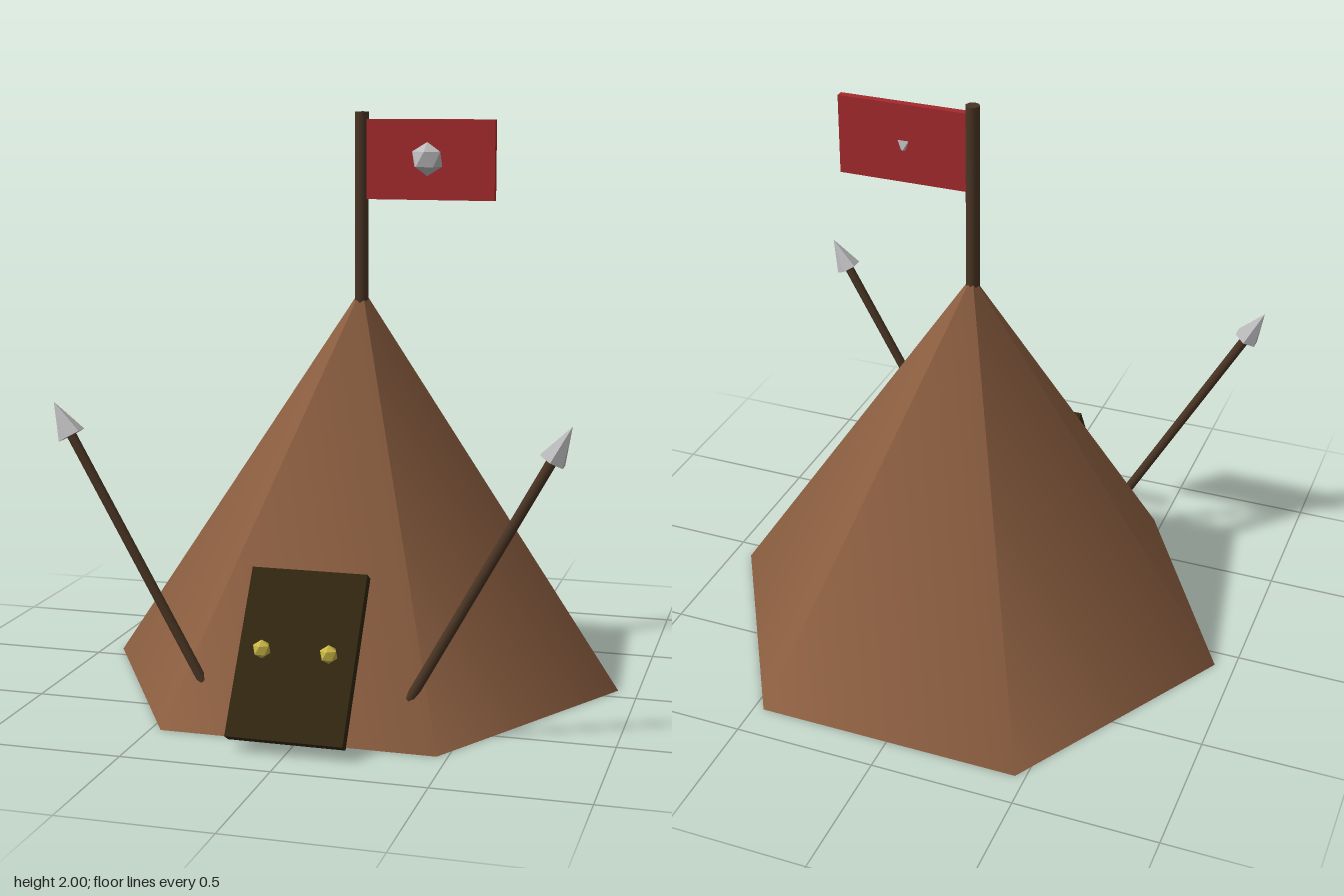
import * as THREE from 'three';

const mat = (name, color, flatShading = false) => {
  const m = new THREE.MeshStandardMaterial({ color, flatShading });
  m.name = name;
  return m;
};

export function createModel() {
  const group = new THREE.Group();
  group.name = 'tent';
  const hide = mat('brown hide', 0x8b5e40);
  const wood = mat('dark wood', 0x4a3524);
  const doorWood = mat('olive door', 0x33270f);
  const cloth = mat('red cloth', 0xa52a2c);
  const steel = mat('steel', 0xbcbcbe, true);
  const gold = mat('gold', 0xc9b545, true);

  const add = (name, geometry, material, x, y, z, parent = group) => {
    const mesh = new THREE.Mesh(geometry, material);
    mesh.name = name;
    mesh.position.set(x, y, z);
    parent.add(mesh);
    return mesh;
  };
  // Icosahedron standing on one of its corners
  const gem = (r) => new THREE.IcosahedronGeometry(r, 0).rotateX(-Math.atan(1.618));

  // Six-sided tent with corners pointing left and right
  const tentHeight = 1.39, cz = -0.07;
  add('tentCover', new THREE.ConeGeometry(0.93, tentHeight, 6).rotateY(Math.PI / 6),
    hide, 0, tentHeight / 2, cz);

  // Pole, flag and emblem
  add('flagPole', new THREE.CylinderGeometry(0.025, 0.025, 0.8, 8), wood, 0, 1.6, -0.065);
  add('flag', new THREE.BoxGeometry(0.46, 0.275, 0.027), cloth, 0.242, 1.837, -0.067);
  add('flagEmblem', gem(0.058), steel, 0.24, 1.84, -0.035);

  // Leaning door with two knobs
  const door = add('door', new THREE.BoxGeometry(0.39, 0.564, 0.043), doorWood, 0, 0.28, 0.705);
  door.rotation.x = -0.557;
  for (const s of [-1, 1]) add('doorKnob', gem(0.031), gold, s * 0.112, 0.306, 0.738);

  // Two spears stuck in the front, leaning outwards
  for (const s of [-1, 1]) {
    const spear = new THREE.Group();
    spear.name = s > 0 ? 'leftSpear' : 'rightSpear';
    spear.position.set(s * 0.31, 0.07, 0.635);
    spear.rotation.z = -s * 0.508;
    add('spearShaft', new THREE.CylinderGeometry(0.017, 0.017, 1.02, 8), wood, 0, 0.51, 0, spear);
    add('spearHead', new THREE.ConeGeometry(0.047, 0.125, 6), steel, 0, 1.07, 0, spear);
    group.add(spear);
  }
  return group;
}
